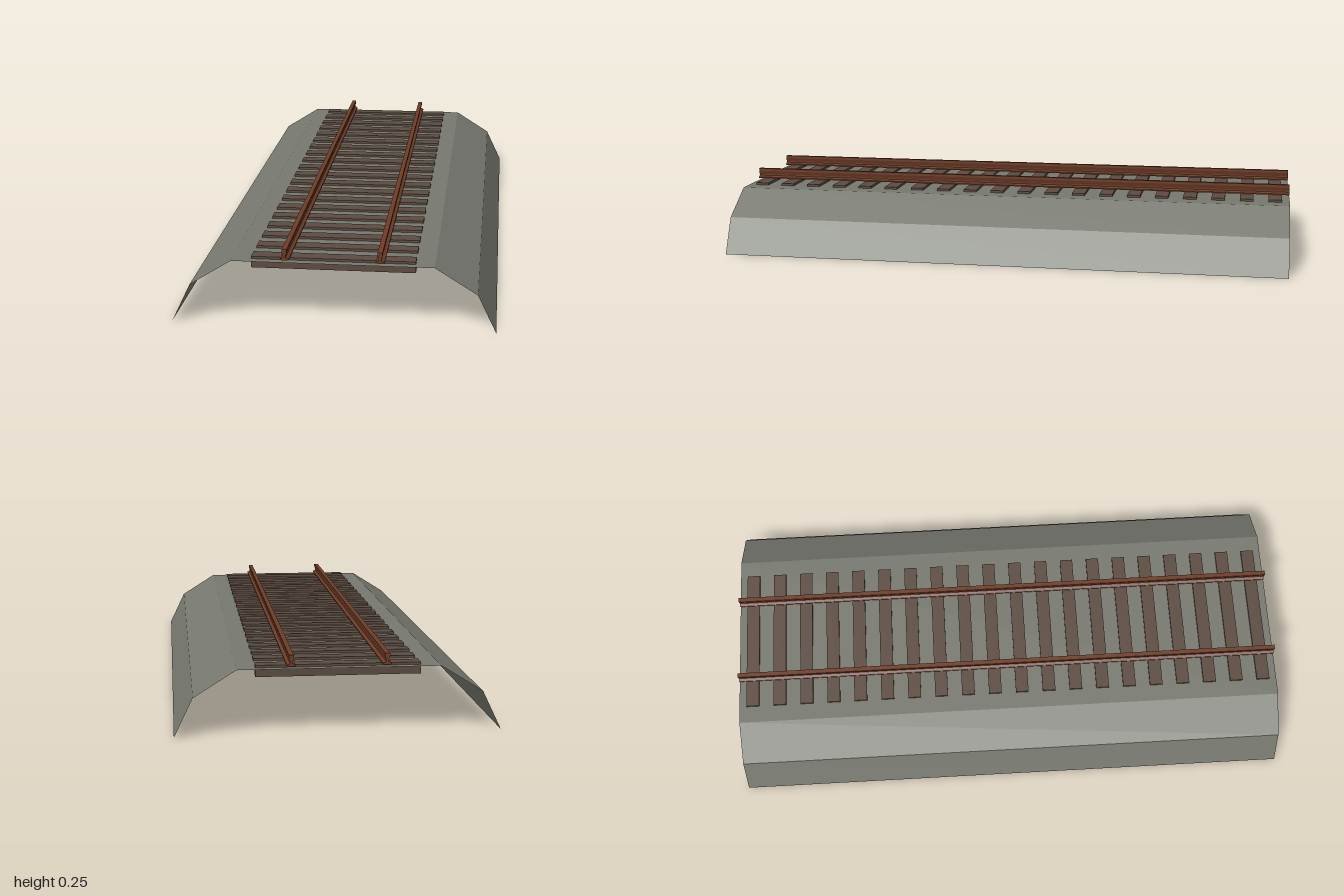
import * as THREE from 'three';

const LENGTH = 2;

export function createModel() {
  const model = new THREE.Group();
  model.name = 'railwayTrack';

  const gravel = new THREE.MeshStandardMaterial({ color: 0x777970, side: THREE.DoubleSide, flatShading: true });
  gravel.name = 'gravel grey';
  const wood = new THREE.MeshStandardMaterial({ color: 0x5c4c41, flatShading: true });
  wood.name = 'sleeper brown';
  const rust = new THREE.MeshStandardMaterial({ color: 0x6e3c26, flatShading: true });
  rust.name = 'rusty steel';

  // Ballast bed: an open sheet swept along z from half a cross-section, mirrored
  const half = [[0.515, 0], [0.455, 0.125], [0.32, 0.21]];
  const profile = [...half.map(([x, y]) => [-x, y]), ...half.slice().reverse()];
  const positions = [];
  const index = [];
  profile.forEach(([x, y], i) => {
    positions.push(x, y, LENGTH / 2, x, y, -LENGTH / 2);
    if (i > 0) {
      const a = 2 * (i - 1);
      index.push(a, a + 2, a + 3, a, a + 3, a + 1);
    }
  });
  const sheet = new THREE.BufferGeometry();
  sheet.setAttribute('position', new THREE.Float32BufferAttribute(positions, 3));
  sheet.setIndex(index);
  const bedGeometry = sheet.toNonIndexed();
  bedGeometry.computeVertexNormals();
  const bed = new THREE.Mesh(bedGeometry, gravel);
  bed.name = 'ballastBed';
  model.add(bed);

  // Sleepers, evenly spaced
  const sleepers = new THREE.Group();
  sleepers.name = 'sleepers';
  const sleeperGeometry = new THREE.BoxGeometry(0.52, 0.037, 0.047);
  for (let i = 0; i < 20; i++) {
    const sleeper = new THREE.Mesh(sleeperGeometry, wood);
    sleeper.name = 'sleeper';
    sleeper.position.set(0, 0.1995, -0.95 + i * 0.1);
    sleepers.add(sleeper);
  }
  model.add(sleepers);

  // Rails: flat foot, narrow web, flared head
  const side = [[0.014, 0.218], [0.014, 0.222], [0.004, 0.227], [0.004, 0.232], [0.008, 0.245], [0.008, 0.254]];
  const outline = [...side, ...side.slice().reverse().map(([x, y]) => [-x, y])];
  const railShape = new THREE.Shape(outline.map(([x, y]) => new THREE.Vector2(x, y)));
  const railGeometry = new THREE.ExtrudeGeometry(railShape, { depth: LENGTH, bevelEnabled: false });
  railGeometry.translate(0, 0, -LENGTH / 2);
  for (const [name, x] of [['leftRail', 0.15], ['rightRail', -0.15]]) {
    const rail = new THREE.Mesh(railGeometry, rust);
    rail.name = name;
    rail.position.x = x;
    model.add(rail);
  }

  return model;
}
